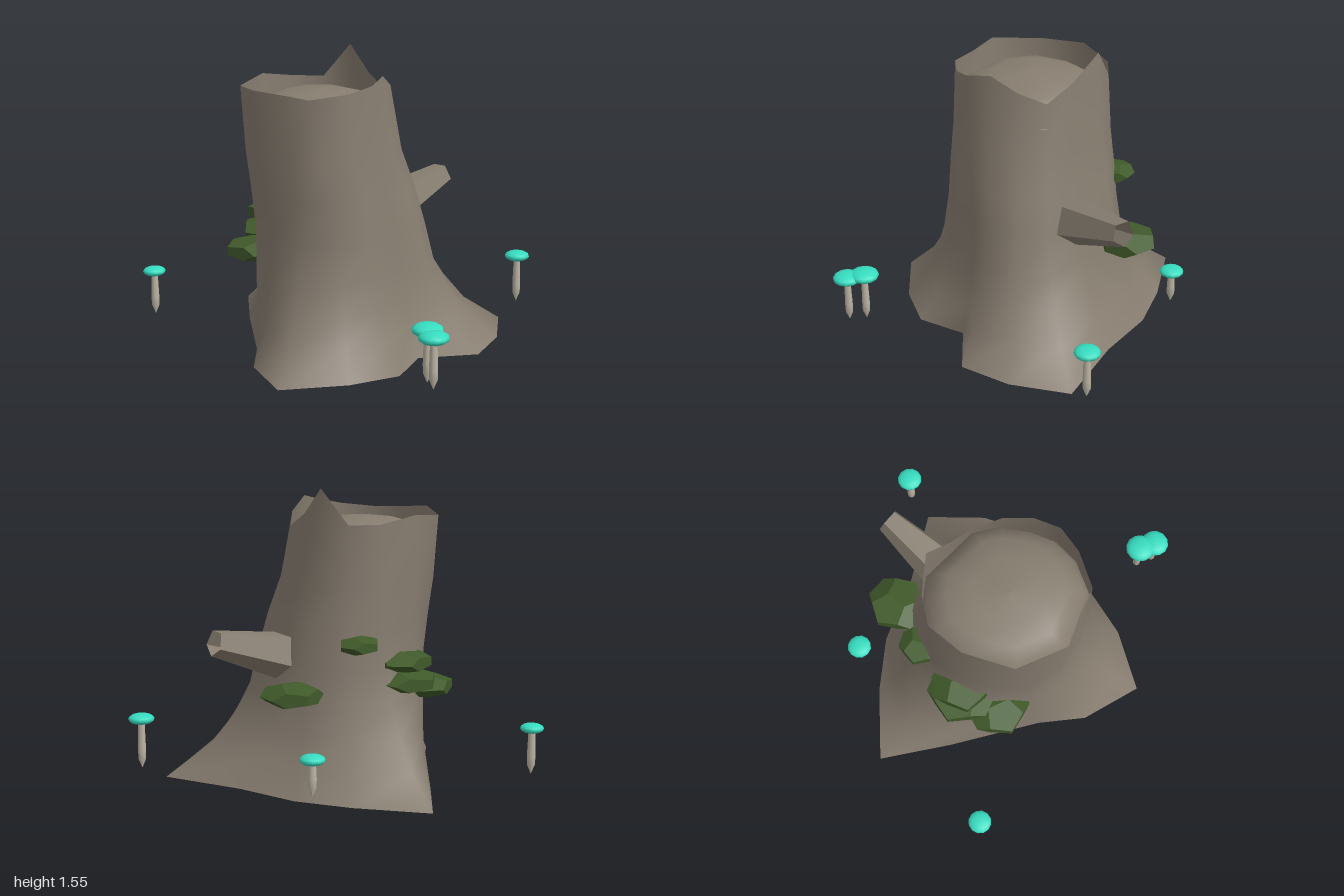
import * as THREE from 'three';

const mat = (name, color, opts = {}) => {
  const m = new THREE.MeshStandardMaterial({ color, ...opts });
  m.name = name;
  return m;
};

// Trunk columns, clockwise from the back: base x,z | middle x,z | rim x,z,y
const COLUMNS = [
  [-0.09, -1.0, -0.14, -0.55, -0.1, -0.535, 1.375],
  [0.19, -0.71, 0.05, -0.5, 0.03, -0.44, 1.37],
  [0.37, -0.46, 0.22, -0.34, 0.11, -0.31, 1.55],
  [0.49, -0.13, 0.22, -0.12, 0.1, -0.15, 1.41],
  [0.705, 0.27, 0.235, 0.09, 0.09, 0.0, 1.33],
  [0.45, 0.49, 0.15, 0.23, 0.0, 0.12, 1.39],
  [0.18, 0.605, 0.01, 0.33, -0.13, 0.2, 1.46],
  [-0.09, 0.43, -0.15, 0.3, -0.26, 0.26, 1.43],
  [-0.34, 0.55, -0.33, 0.33, -0.4, 0.235, 1.4],
  [-0.61, 0.47, -0.48, 0.26, -0.57, 0.14, 1.38],
  [-0.91, 0.28, -0.59, 0.1, -0.61, 0.0, 1.39],
  [-0.8, -0.05, -0.615, -0.1, -0.68, -0.17, 1.405],
  [-0.62, -0.25, -0.57, -0.3, -0.56, -0.42, 1.385],
  [-0.33, -0.68, -0.37, -0.49, -0.32, -0.535, 1.41],
];
const N = COLUMNS.length;

// Height and blend: 0 base, 1 middle, 2 rim
const RINGS = [[0, 0], [0.15, 0.44], [0.3, 0.69], [0.45, 0.88], [0.65, 1], [0.85, 1.3], [1.05, 1.68], [null, 2]];

function columnPoint(c, blend, y) {
  const k = blend < 1 ? 0 : 2;
  const t = blend < 1 ? blend : blend - 1;
  return [c[k] + (c[k + 2] - c[k]) * t, y ?? c[6], c[k + 1] + (c[k + 3] - c[k + 1]) * t];
}

// Closed rings joined into one smooth skin
function skin(rings) {
  const index = [];
  for (let j = 0; j < rings.length - 1; j++) {
    for (let i = 0; i < N; i++) {
      const a = j * N + i, b = j * N + (i + 1) % N;
      index.push(b, a, a + N, b, a + N, b + N);
    }
  }
  const g = new THREE.BufferGeometry();
  g.setAttribute('position', new THREE.Float32BufferAttribute(rings.flat(2), 3));
  g.setIndex(index);
  g.computeVertexNormals();
  return g;
}

export function createModel() {
  const model = new THREE.Group();
  model.name = 'treeStump';
  const bark = mat('bark', 0x877d70, { side: THREE.DoubleSide });
  const branchBark = mat('branchBark', 0x877d70, { side: THREE.DoubleSide, flatShading: true });
  const moss = mat('moss', 0x405a2a, { flatShading: true });
  const capTeal = mat('mushroomCap', 0x36dcc0);
  const stemPale = mat('mushroomStem', 0xbdb5a5);

  const add = (parent, name, geometry, material, x = 0, y = 0, z = 0) => {
    const mesh = new THREE.Mesh(geometry, material);
    mesh.name = name;
    mesh.position.set(x, y, z);
    parent.add(mesh);
    return mesh;
  };

  // Flared trunk, open underneath, with a jagged rim
  add(model, 'trunk', skin(RINGS.map(([y, b]) => COLUMNS.map((c) => columnPoint(c, b, y)))), bark);

  // Domed wood rising inside the rim
  const outer = COLUMNS.map((c) => columnPoint(c, 1.82, 1.2));
  const dome = [[0.99, 1.2], [0.9, 1.28], [0.72, 1.33], [0.45, 1.36], [0, 1.372]].map(([s, y]) =>
    outer.map(([x, , z]) => [-0.28 + (x + 0.28) * s, y, -0.14 + (z + 0.14) * s]));
  add(model, 'stumpTop', skin(dome), bark);

  // Hollow broken branch on the model's left
  const from = new THREE.Vector3(0.205, 0.672, -0.09), to = new THREE.Vector3(0.617, 0.782, -0.105);
  const dir = to.clone().sub(from);
  const branchGeo = new THREE.CylinderGeometry(0.07, 0.13, dir.length(), 5, 1, true);
  branchGeo.rotateY(Math.PI / 2); // a corner faces down once laid over
  const mid = from.clone().add(to).multiplyScalar(0.5);
  const branch = add(model, 'branch', branchGeo, branchBark, mid.x, mid.y, mid.z);
  branch.quaternion.setFromUnitVectors(new THREE.Vector3(0, 1, 0), dir.normalize());

  // Chunky moss shelves: x, y, z, radius, half height, turn
  [
    [0.325, 0.525, -0.37, 0.165, 0.066, 0],
    [0.01, 0.77, -0.51, 0.115, 0.05, 0.4],
    [-0.27, 0.655, -0.49, 0.17, 0.06, 0.9],
    [-0.28, 0.555, -0.515, 0.185, 0.062, 0.3],
    [-0.47, 0.49, -0.43, 0.17, 0.062, 1.2],
  ].forEach(([x, y, z, r, h, turn], i) => {
    const shelf = add(model, 'mossShelf' + (i + 1), new THREE.DodecahedronGeometry(1), moss, x, y, z);
    shelf.scale.set(r, h, r);
    shelf.rotation.y = turn;
  });

  // Mushrooms around the roots: x, z, cap height, cap radius
  [
    [-0.787, -0.935, 0.315, 0.062],
    [0.382, -0.642, 0.263, 0.066],
    [0.842, 0.278, 0.337, 0.069],
    [-0.432, 0.835, 0.342, 0.08],
    [-0.473, 0.918, 0.332, 0.077],
  ].forEach(([x, z, y, r]) => {
    const mushroom = new THREE.Group();
    mushroom.name = 'mushroom';
    mushroom.position.set(x, 0, z);
    const profile = [[0, 0.07], [0.021, 0.12], [0.022, 0.17], [0.017, y]].map((p) => new THREE.Vector2(...p));
    add(mushroom, 'stem', new THREE.LatheGeometry(profile, 8), stemPale);
    const cap = add(mushroom, 'cap', new THREE.SphereGeometry(1, 12, 8), capTeal, 0, y, 0);
    cap.scale.set(r, r * 0.42, r);
    model.add(mushroom);
  });

  return model;
}
